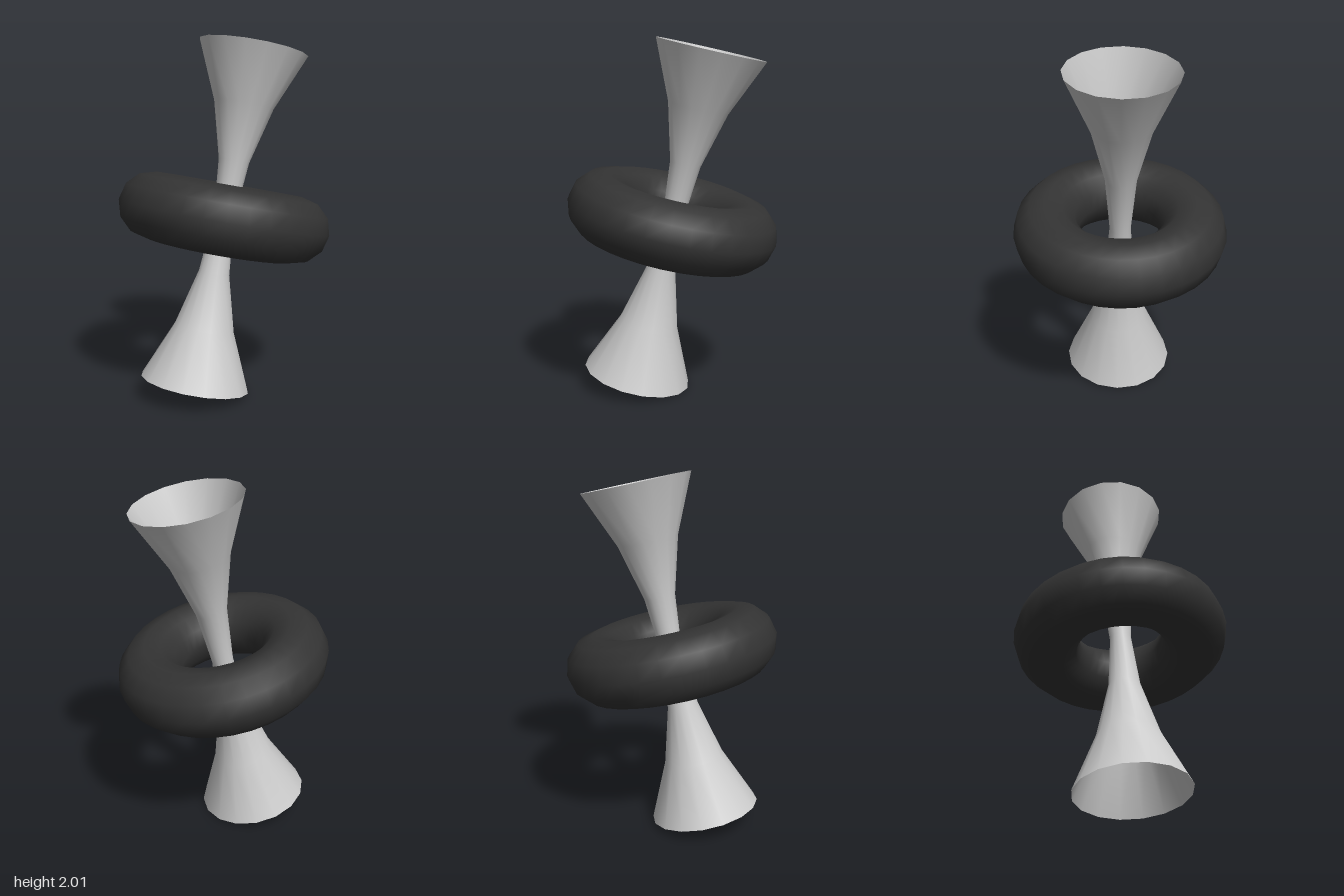
import * as THREE from 'three';

const HALF_LENGTH = 0.958; // half the funnel's length along its axis
const WAIST = 0.06;
const MOUTH = 0.31;

export function createModel() {
  const group = new THREE.Group();
  group.name = 'funnelAndRing';

  // Double funnel: radius grows with the square of the distance from the waist
  const profile = [];
  for (let i = -3; i <= 3; i++) {
    const t = i / 3;
    profile.push(new THREE.Vector2(WAIST + (MOUTH - WAIST) * t * t, t * HALF_LENGTH));
  }
  const funnel = new THREE.Mesh(
    new THREE.LatheGeometry(profile, 16),
    new THREE.MeshStandardMaterial({ color: 0xcccccc, side: THREE.DoubleSide })
  );
  funnel.name = 'doubleFunnel';
  group.add(funnel);

  // Dark ring around the waist, lying across the funnel's axis
  const ring = new THREE.Mesh(
    new THREE.TorusGeometry(0.415, 0.185, 12, 32).rotateX(Math.PI / 2),
    new THREE.MeshStandardMaterial({ color: 0x333333 })
  );
  ring.name = 'ring';
  group.add(ring);

  // Lean the whole assembly to one side and slightly back
  group.rotation.set(-0.1, 0, -0.2);
  group.position.y = 1;

  const model = new THREE.Group();
  model.name = 'model';
  model.add(group);
  return model;
}
